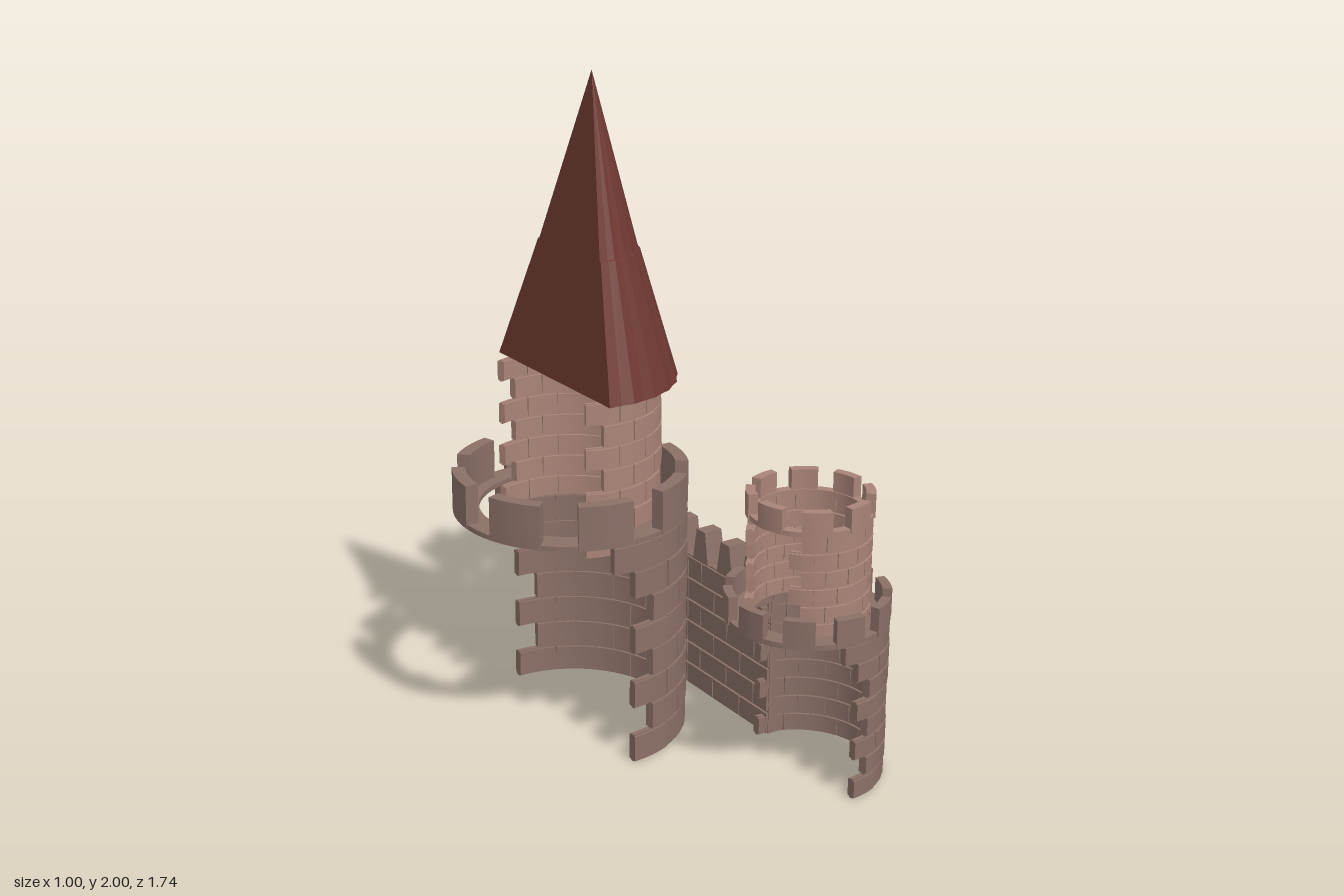
import * as THREE from 'three';
import { mergeGeometries, toCreasedNormals } from 'three/addons/utils/BufferGeometryUtils.js';

const DEG = Math.PI / 180;
const material = (color) => new THREE.MeshStandardMaterial({ color });
const darkStone = material(0x8a7067);
const paleStone = material(0xa98478);
const roofTile = material(0x6e3832);
const doorPaint = material(0xb2bdca);

const extrude = (shape, depth) =>
  new THREE.ExtrudeGeometry(shape, { depth, bevelEnabled: false, curveSegments: 8 });

// Ring sector between two angles (degrees), lying flat in XY
function sectorShape(r0, r1, a0, a1, steps) {
  const pts = [];
  for (let i = 0; i <= steps; i++) {
    const a = (a0 + (a1 - a0) * i / steps) * DEG;
    pts.push(new THREE.Vector2(r1 * Math.cos(a), r1 * Math.sin(a)));
  }
  for (let i = steps; i >= 0; i--) {
    const a = (a0 + (a1 - a0) * i / steps) * DEG;
    pts.push(new THREE.Vector2(r0 * Math.cos(a), r0 * Math.sin(a)));
  }
  return new THREE.Shape(pts);
}

// Curved block standing upright from y0 to y1
function curvedBlock(r0, r1, a0, a1, y0, y1) {
  const steps = Math.max(2, Math.ceil((a1 - a0) / 6));
  return extrude(sectorShape(r0, r1, a0, a1, steps), y1 - y0).rotateX(-Math.PI / 2).translate(0, y0, 0);
}

function addMesh(parent, name, parts, mat, x = 0, z = 0) {
  const plain = parts.map((g) => (g.index ? g.toNonIndexed() : g));
  const mesh = new THREE.Mesh(toCreasedNormals(mergeGeometries(plain), 0.5), mat);
  mesh.name = name;
  mesh.position.set(x, 0, z);
  parent.add(mesh);
}

// Open-backed round wall: staggered bricks, with mortar recessed on both faces
function brickShell(r, thick, y0, y1, rows, bricks) {
  const parts = [], step = 22.5, h = (y1 - y0) / rows;
  for (let row = 0; row < rows; row++) {
    const n = bricks - (row % 2), start = -n * step / 2, y = y0 + row * h;
    parts.push(curvedBlock(r - thick + 0.008, r - 0.008, start + 0.4, -start - 0.4, y, y + h));
    for (let i = 0; i < n; i++) {
      const a = start + i * step, out = r - ((i * 3 + row * 5) % 4) * 0.001;
      parts.push(curvedBlock(r - thick, out, a + 0.35, a + step - 0.35, y + 0.004, y + h - 0.004));
    }
  }
  return parts;
}

// Walkway ring edged with evenly spaced merlons of the given thickness
function battlement(r0, r1, thick, y0, yNotch, y1, count, start) {
  const parts = [0, 180].map((a) => curvedBlock(r0, r1 - 0.004, a, a + 180, y0, yNotch));
  const step = 360 / count;
  for (let i = 0; i < count; i++) {
    const a = start + i * step;
    parts.push(curvedBlock(r1 - thick, r1, a, a + step * 0.6, y0 + 0.003, y1));
  }
  return parts;
}

// Loft of cut circles shrinking to an off-centre tip, with a flat back
function roofGeometry() {
  const n = 28, pos = [], tipX = -0.08, tipZ = 0.013;
  const levels = [[1.11, 1], [1.49, 0.55], [1.492, 0.53], [2, 0]];
  const point = ([y, s], i) => {
    const k = i % (n + 1), a = (-101 + 202 * k / n) * DEG, r = k % 2 ? 0.311 : 0.316;
    const sx = k % n ? s : (2 - y) / 0.89; // the two back corners keep the back flat
    return [tipX + sx * (-0.15 + r * Math.cos(a) - tipX), y, tipZ + s * (r * Math.sin(a) - tipZ)];
  };
  for (let i = 0; i <= n; i++) {
    for (let k = 0; k < levels.length - 1; k++) {
      const a = point(levels[k], i), b = point(levels[k], i + 1);
      const c = point(levels[k + 1], i), d = point(levels[k + 1], i + 1);
      pos.push(...a, ...c, ...b);
      if (levels[k + 1][1] > 0) pos.push(...b, ...c, ...d);
    }
    pos.push(-0.12, 1.11, 0, ...point(levels[0], i), ...point(levels[0], i + 1));
  }
  const g = new THREE.BufferGeometry();
  g.setAttribute('position', new THREE.Float32BufferAttribute(pos, 3));
  g.computeVertexNormals();
  return g;
}

// Extruded shape drawn in (-z, y), pushed along +x from x0 to x1
const wallPiece = (shape, x0, x1) => extrude(shape, x1 - x0).rotateY(Math.PI / 2).translate(x0, 0, 0);

function box(x0, x1, y0, y1, z0, z1) {
  return new THREE.BoxGeometry(x1 - x0, y1 - y0, z1 - z0)
    .translate((x0 + x1) / 2, (y0 + y1) / 2, (z0 + z1) / 2);
}

// One course of bricks on one face; inner leaves room for the gateway
function brickCourse(x0, x1, row, h, inner) {
  const parts = [];
  for (const side of [-1, 1]) {
    for (let z = inner - (row % 2) * 0.07; z < 0.42; z += 0.14) {
      const z0 = Math.max(inner, z) + 0.002, z1 = Math.min(0.42, z + 0.14) - 0.002;
      if (z1 - z0 < 0.01) continue;
      const [a, b] = side > 0 ? [z0, z1] : [-z1, -z0];
      parts.push(box(x0, x1, row * h + 0.004, (row + 1) * h - 0.004, a, b));
    }
  }
  return parts;
}

function curtainWall() {
  // Mortar core with brick courses on both faces
  const parts = [box(0.29, 0.335, 0, 0.44, -0.42, 0.42)];
  const rows = 6, h = 0.44 / rows;
  for (let row = 0; row < rows; row++) {
    parts.push(...brickCourse(0.33, 0.343 + (row % 3) * 0.001, row, h, row < 5 ? 0.15 : 0));
    parts.push(...brickCourse(0.282, 0.291, row, h, 0));
  }
  // Tapered merlons
  for (let i = 0; i < 6; i++) {
    const z = (i - 2.5) * 0.127;
    const s = new THREE.Shape([[-0.04, 0.44], [0.04, 0.44], [0.022, 0.545], [-0.022, 0.545]]
      .map(([dz, y]) => new THREE.Vector2(z + dz, y)));
    parts.push(wallPiece(s, 0.282, 0.345));
  }
  return parts;
}

function gateArch() {
  const parts = [];
  // Jamb blocks
  for (const s of [-1, 1]) {
    for (let i = 0; i < 4; i++) {
      const z0 = 0.13, z1 = 0.18 - (i % 2) * 0.005;
      parts.push(box(0.335, 0.438 - (i % 2) * 0.004, i * 0.0475 + 0.002, (i + 1) * 0.0475 - 0.002,
        s > 0 ? z0 : -z1, s > 0 ? z1 : -z0));
    }
  }
  // Arch stones
  for (let i = 0; i < 9; i++) {
    const wedge = sectorShape(0.13, 0.175 - (i % 2) * 0.005, i * 20 + 0.8, i * 20 + 19.2, 3);
    parts.push(wallPiece(wedge, 0.335, 0.438 - (i % 2) * 0.004).translate(0, 0.19, 0));
  }
  return parts;
}

// Two arched leaves meeting at a narrow joint
function doorLeaves() {
  const leaf = new THREE.Shape();
  leaf.moveTo(0.002, 0);
  leaf.lineTo(0.13, 0);
  leaf.lineTo(0.13, 0.19);
  leaf.absarc(0, 0.19, 0.13, 0, Math.PI / 2 - 0.015, false);
  const right = wallPiece(leaf, 0.335, 0.378);
  return [right, right.clone().rotateY(Math.PI).translate(0.713, 0, 0)];
}

export function createModel() {
  const castle = new THREE.Group();
  castle.name = 'castle';

  // Keep
  const keep = new THREE.Group();
  keep.name = 'keep';
  castle.add(keep);
  addMesh(keep, 'keepWall', [
    ...brickShell(0.35, 0.03, 0, 0.6125, 7, 8),
    ...brickShell(0.35, 0.03, 0.6125, 0.7, 1, 9),
  ], darkStone, -0.15);
  addMesh(keep, 'keepBattlement', battlement(0.274, 0.352, 0.04, 0.7, 0.715, 0.835, 8, -28), darkStone, -0.15);
  addMesh(keep, 'keepTurret', brickShell(0.27, 0.025, 0.64, 1.11, 7, 10), paleStone, -0.15);
  const roof = new THREE.Mesh(roofGeometry(), roofTile);
  roof.name = 'roof';
  keep.add(roof);

  // Pair of corner towers
  for (const side of [1, -1]) {
    const tower = new THREE.Group();
    tower.name = side > 0 ? 'frontTower' : 'rearTower';
    castle.add(tower);
    const x = 0.257, z = side * 0.628;
    addMesh(tower, 'towerWall', [
      ...brickShell(0.24, 0.027, 0, 0.428, 7, 8),
      ...brickShell(0.24, 0.027, 0.428, 0.49, 1, 9),
    ], darkStone, x, z);
    addMesh(tower, 'towerBattlement', battlement(0.181, 0.242, 0.028, 0.487, 0.503, 0.575, 10, 0), darkStone, x, z);
    addMesh(tower, 'turretWall', brickShell(0.18, 0.026, 0.487, 0.805, 6, 13), paleStone, x, z);
    addMesh(tower, 'turretBattlement', battlement(0.152, 0.184, 0.028, 0.8, 0.815, 0.875, 8, 0), paleStone, x, z);
  }

  // Wall and gate
  addMesh(castle, 'curtainWall', curtainWall(), darkStone);
  addMesh(castle, 'gateArch', gateArch(), darkStone);
  addMesh(castle, 'door', doorLeaves(), doorPaint);
  return castle;
}
